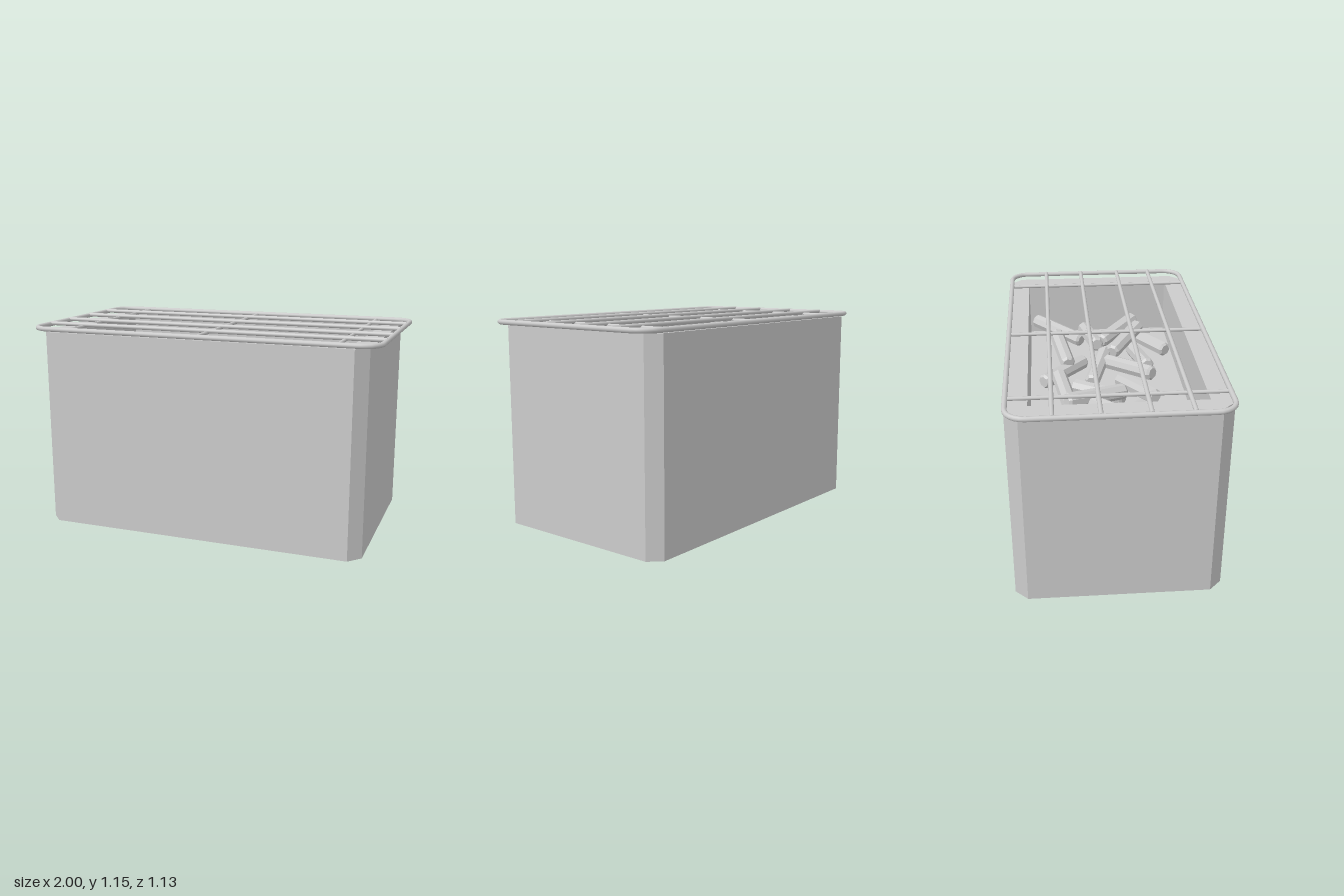
import * as THREE from 'three';

const material = new THREE.MeshStandardMaterial({ color: 0xcccccc, side: THREE.DoubleSide });
const flat = new THREE.MeshStandardMaterial({ color: 0xcccccc, side: THREE.DoubleSide, flatShading: true });

const TOP = 1.12;

function add(parent, name, geometry, mat = material) {
  const mesh = new THREE.Mesh(geometry, mat);
  mesh.name = name;
  parent.add(mesh);
  return mesh;
}

// Rectangle outline with chamfered corners (cx, cz may be 0)
function outline(x, z, cx = 0, cz = 0) {
  const points = cx
    ? [[x, z - cz], [x - cx, z], [cx - x, z], [-x, z - cz], [-x, cz - z], [cx - x, -z], [x - cx, -z], [x, cz - z]]
    : [[x, z], [-x, z], [-x, -z], [x, -z]];
  return points.map(([a, b]) => new THREE.Vector2(a, b));
}

// Upright extruded ring between two outlines
function ring(outer, inner, y0, y1) {
  const shape = new THREE.Shape(outer);
  shape.holes.push(new THREE.Path(inner));
  const geometry = new THREE.ExtrudeGeometry(shape, { depth: y1 - y0, bevelEnabled: false });
  return geometry.rotateX(-Math.PI / 2).translate(0, y0, 0);
}

// Place a geometry built along y between two points
function span(mesh, a, b) {
  mesh.position.copy(a).lerp(b, 0.5);
  mesh.quaternion.setFromUnitVectors(new THREE.Vector3(0, 1, 0), b.clone().sub(a).normalize());
  return mesh;
}

function bar(parent, name, a, b, radius) {
  const geometry = new THREE.CylinderGeometry(radius, radius, a.distanceTo(b), 12);
  return span(add(parent, name, geometry), a, b);
}

// Rounded rectangular path for the grill rim
function rimPath(x, z, r, y) {
  const points = [];
  [[1, 1], [-1, 1], [-1, -1], [1, -1]].forEach(([sx, sz], corner) => {
    for (let i = 0; i <= 8; i++) {
      const t = (corner + i / 8) * Math.PI / 2;
      points.push(new THREE.Vector3(sx * (x - r) + r * Math.cos(t), y, sz * (z - r) + r * Math.sin(t)));
    }
  });
  const path = new THREE.CurvePath();
  points.forEach((p, i) => path.add(new THREE.LineCurve3(p, points[(i + 1) % points.length])));
  return path;
}

// Charcoal sticks: x0, z0, x1, z1, layer
const STICKS = [
  [-0.71, -0.42, -0.63, -0.03, 0.5], [-0.40, -0.44, -0.54, -0.07, 0], [-0.38, -0.22, -0.03, -0.28, 0.4],
  [-0.45, -0.25, -0.28, 0.08, 1], [-0.08, -0.20, -0.25, 0.08, 0], [-0.68, 0.11, -0.40, -0.11, 1],
  [-0.60, -0.03, -0.34, 0.18, 0], [-0.38, 0.24, -0.07, 0.07, 0.6], [-0.72, 0.20, -0.41, 0.38, 0],
  [-0.02, -0.37, 0.25, -0.12, 0], [0.12, -0.22, 0.48, -0.28, 0.8], [0.81, -0.41, 0.55, -0.12, 0.3],
  [-0.05, -0.09, 0.29, 0.01, 0.3], [0.26, -0.04, 0.62, -0.10, 1], [0.47, 0.00, 0.74, 0.23, 0.6],
  [-0.09, 0.26, 0.18, 0.01, 0.6], [0.23, 0.05, 0.54, 0.24, 1], [0.08, 0.25, 0.43, 0.19, 0.2],
  [0.37, 0.40, 0.67, 0.20, 0],
];

function stickGeometry(length) {
  const h = length / 2;
  const profile = [[0, -h], [0.032, -h], [0.044, 0.014 - h], [0.044, h - 0.014], [0.032, h], [0, h]];
  return new THREE.LatheGeometry(profile.map(([r, y]) => new THREE.Vector2(r, y)), 8);
}

export function createModel() {
  const model = new THREE.Group();
  model.name = 'charcoalGrill';

  // Open-bottomed body with chamfered corners
  add(model, 'body', ring(outline(0.93, 0.56, 0.065, 0.068), outline(0.922, 0.552, 0.065, 0.068), 0, TOP - 0.008), flat);

  // Recessed charcoal tray: flange, walls and floor
  const tray = new THREE.Group();
  tray.name = 'charcoalTray';
  model.add(tray);
  add(tray, 'trayFlange', ring(outline(0.93, 0.56, 0.065, 0.068), outline(0.83, 0.445), TOP - 0.008, TOP), flat);
  add(tray, 'trayWalls', ring(outline(0.838, 0.453), outline(0.83, 0.445), 0.74, TOP - 0.008), flat);
  add(tray, 'trayFloor', new THREE.BoxGeometry(1.66, 0.05, 0.89).translate(0, 0.765, 0), flat);

  // Pile of charcoal sticks
  const pile = new THREE.Group();
  pile.name = 'charcoalPile';
  model.add(pile);
  STICKS.forEach(([x0, z0, x1, z1, layer], i) => {
    const y = 0.834 + 0.08 * layer;
    const tilt = layer ? 0.02 * (i % 2 ? 1 : -1) : 0;
    const a = new THREE.Vector3(x0, y + tilt, z0);
    const b = new THREE.Vector3(x1, y - tilt, z1);
    span(add(pile, 'charcoalStick', stickGeometry(a.distanceTo(b)), flat), a, b);
  });

  // Wire grill: rim, long bars and cross bars
  const grill = new THREE.Group();
  grill.name = 'grill';
  model.add(grill);
  const rimY = 1.136;
  add(grill, 'grillRim', new THREE.TubeGeometry(rimPath(0.986, 0.554, 0.1, rimY), 240, 0.014, 10, true));
  for (const z of [-0.33, -0.10, 0.14, 0.348]) {
    bar(grill, 'longBar', new THREE.Vector3(-0.985, 1.141, z), new THREE.Vector3(0.985, 1.141, z), 0.012);
  }
  for (const x of [-0.77, 0, 0.77]) {
    bar(grill, 'crossBar', new THREE.Vector3(x, 1.131, -0.552), new THREE.Vector3(x, 1.131, 0.552), 0.01);
  }
  return model;
}
